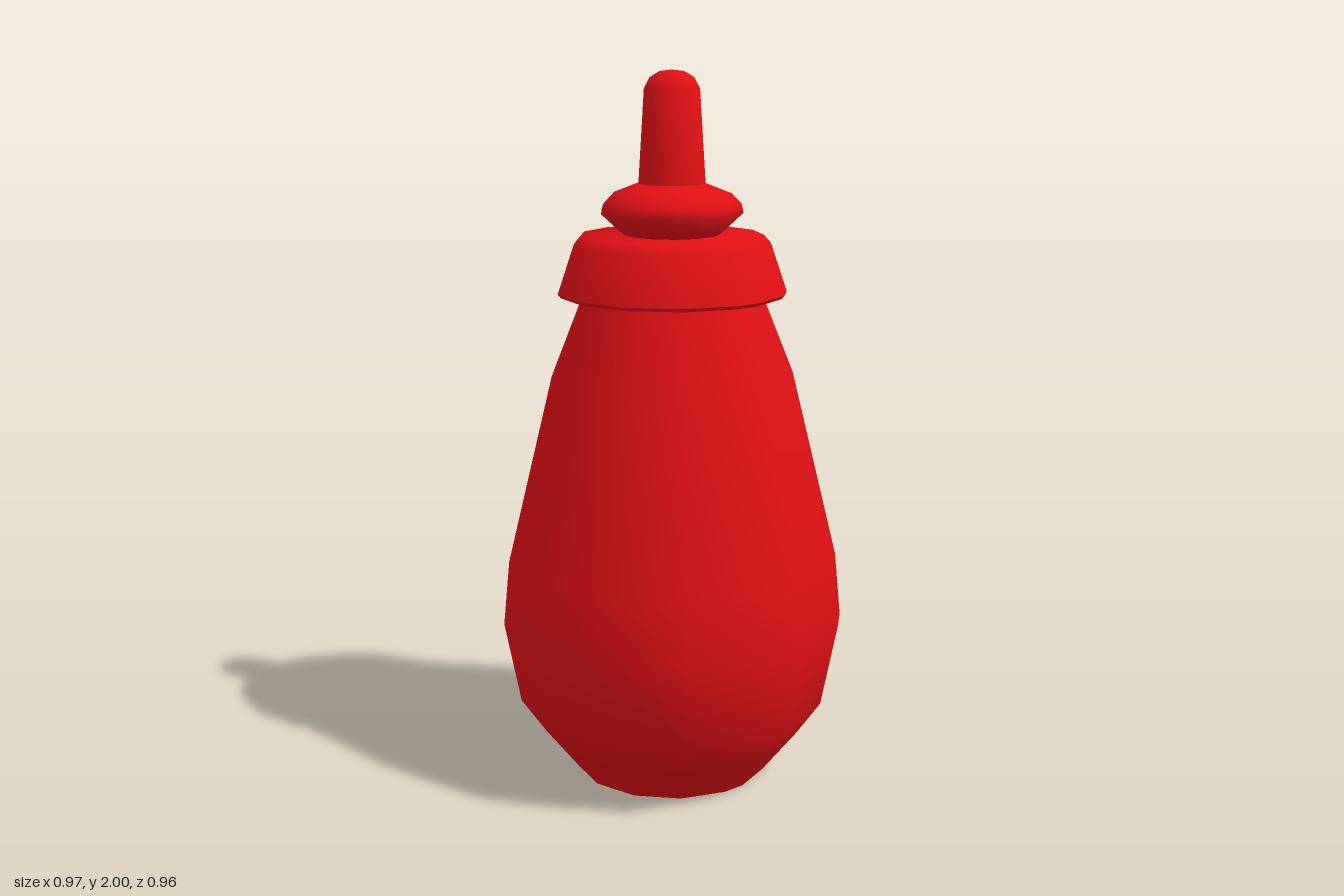
import * as THREE from 'three';
import { toCreasedNormals } from 'three/addons/utils/BufferGeometryUtils.js';

const CENTRE_Z = -0.007;
const STEP = (Math.PI * 2) / 13;

// Thirteen even sides, starting with a corner at the front
const EVEN = Array.from({ length: 14 }, (_, i) => i * STEP);
// Same ring, with the left-hand corner split into two half-step corners
const SPLIT = [0, 1, 2, 2.5, 3.5, 4, 5, 6, 7, 8, 9, 10, 11, 12, 13].map((k) => k * STEP);

// Revolve a [radius, y] profile (bottom to top) through the given corner angles
function turned(name, profile, angles, crease, material) {
  const points = profile.map(([r, y]) => new THREE.Vector2(r, y));
  let geometry = new THREE.LatheGeometry(points, angles.length - 1);
  const position = geometry.attributes.position;
  angles.forEach((a, i) => {
    profile.forEach(([r, y], j) => {
      position.setXYZ(i * profile.length + j, r * Math.sin(a), y, r * Math.cos(a));
    });
  });
  geometry.deleteAttribute('uv');
  geometry.deleteAttribute('normal');
  geometry = toCreasedNormals(geometry, crease);
  const mesh = new THREE.Mesh(geometry, material);
  mesh.name = name;
  mesh.position.z = CENTRE_Z;
  return mesh;
}

export function createModel() {
  const group = new THREE.Group();
  group.name = 'squeezeBottle';
  const red = new THREE.MeshStandardMaterial({ color: 0xe01014 });

  // Pear-shaped bottle, closed at the base and under the cap
  group.add(turned('bottleBody', [
    [0, 0], [0.278, 0], [0.373, 0.12], [0.443, 0.22], [0.488, 0.455],
    [0.47, 0.64], [0.34, 1.17], [0.252, 1.39], [0.235, 1.43], [0, 1.43],
  ], SPLIT, 0.85, red));

  // Tapered screw cap with a small bevel at each rim
  group.add(turned('screwCap', [
    [0, 1.387], [0.312, 1.387], [0.32, 1.397], [0.274, 1.533],
    [0.254, 1.555], [0, 1.555],
  ], SPLIT, 0.85, red));

  // Rounded collar under the nozzle
  group.add(turned('nozzleCollar', [
    [0, 1.55], [0.125, 1.55], [0.15, 1.57], [0.198, 1.615], [0.192, 1.64],
    [0.165, 1.668], [0.095, 1.695], [0, 1.695],
  ], EVEN, 1.2, red));

  // Tapered nozzle with a rounded tip
  group.add(turned('nozzle', [
    [0.094, 1.68], [0.077, 1.95], [0.061, 1.98], [0.034, 1.996], [0, 2.0],
  ], EVEN, 1.0, red));

  return group;
}
